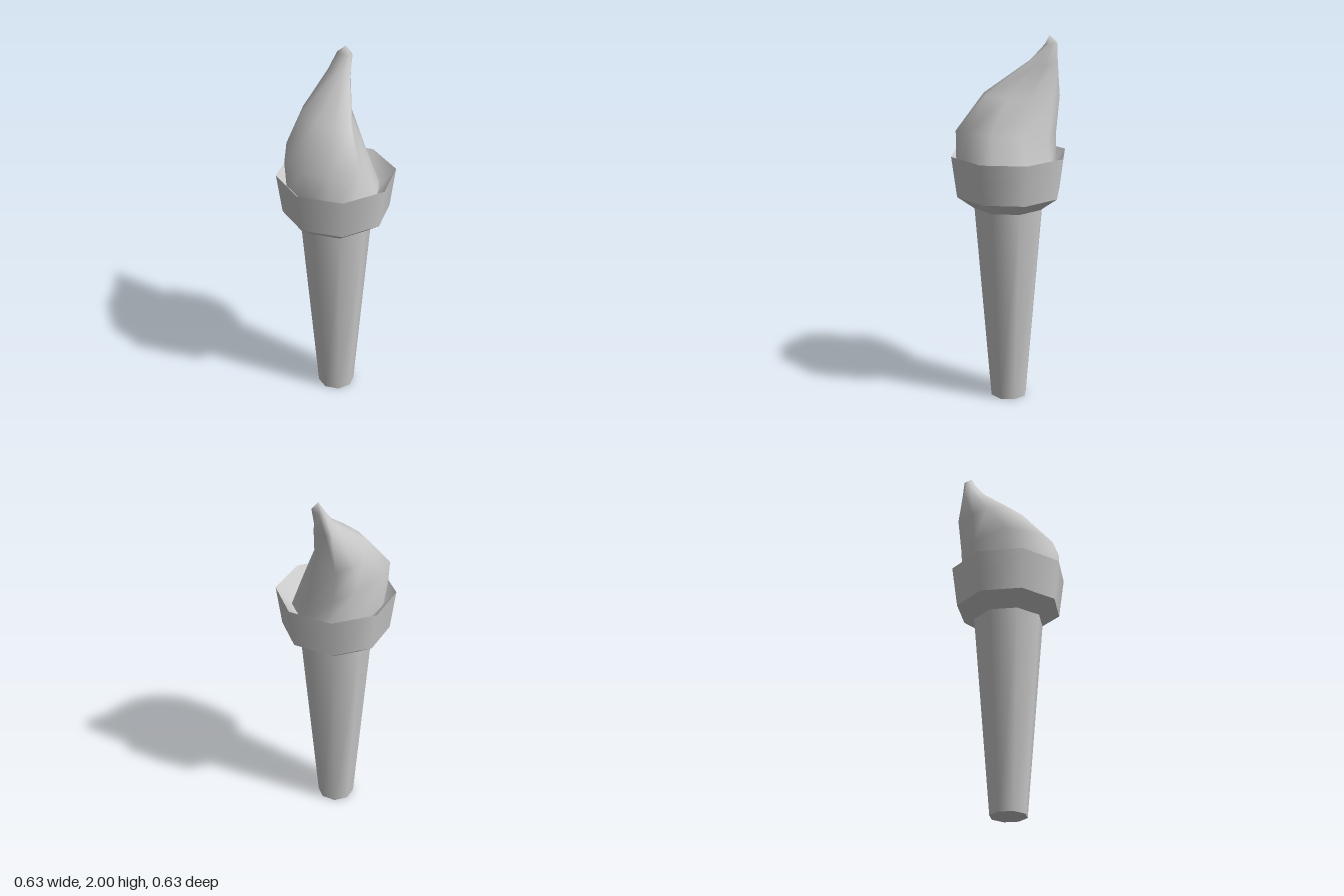
import * as THREE from 'three';

const grey = new THREE.MeshStandardMaterial({ color: 0xcccccc, side: THREE.DoubleSide });

function addPart(group, name, geometry) {
  const mesh = new THREE.Mesh(geometry, grey);
  mesh.name = name;
  group.add(mesh);
}

// Eight-sided band between two heights
function band(r0, y0, r1, y1, open = true) {
  const g = new THREE.CylinderGeometry(r1, r0, y1 - y0, 8, 1, open);
  return g.translate(0, (y0 + y1) / 2, 0);
}

// Joins rings of points (running from +x towards +z, lowest first) up to a tip
function loft(rings, tip) {
  const n = rings[0].length;
  const index = [];
  rings.forEach((ring, i) => {
    for (let j = 0; j < n; j++) {
      const a = i * n + j;
      const b = i * n + (j + 1) % n;
      if (i === rings.length - 1) index.push(a, rings.length * n, b);
      else index.push(a, a + n, b, b, a + n, b + n);
    }
  });
  const g = new THREE.BufferGeometry();
  g.setAttribute('position', new THREE.Float32BufferAttribute([...rings.flat(2), ...tip], 3));
  g.setIndex(index);
  g.computeVertexNormals();
  return g;
}

// Leaning flame with a steep face towards +x and +z
function flameGeometry() {
  const base = [
    [0.24, -0.015], [0.175, 0.15], [0.035, 0.25], [-0.14, 0.235], [-0.235, 0.15],
    [-0.27, 0], [-0.24, -0.13], [-0.12, -0.22], [0.08, -0.235], [0.21, -0.14],
  ].map(([x, z]) => [x, 1.29, z]);
  const belly = [
    [0.21, 1.45, -0.04], [0.13, 1.48, 0.1], [0, 1.5, 0.19], [-0.115, 1.52, 0.245], [-0.235, 1.5, 0.15],
    [-0.28, 1.5, 0], [-0.26, 1.5, -0.13], [-0.12, 1.52, -0.235], [0.08, 1.5, -0.235], [0.185, 1.47, -0.19],
  ];
  const shoulder = [
    [0.215, 1.68, -0.09], [0.12, 1.66, 0], [0.03, 1.68, 0.08], [-0.06, 1.7, 0.145], [-0.11, 1.7, 0.07],
    [-0.115, 1.7, -0.04], [-0.09, 1.7, -0.16], [0, 1.69, -0.22], [0.08, 1.66, -0.245], [0.19, 1.66, -0.22],
  ];
  const neck = [
    [0.22, 1.85, -0.09], [0.18, 1.84, -0.05], [0.15, 1.85, -0.03], [0.11, 1.86, 0], [0.1, 1.87, -0.05],
    [0.1, 1.87, -0.09], [0.12, 1.87, -0.14], [0.14, 1.86, -0.17], [0.18, 1.85, -0.18], [0.205, 1.85, -0.16],
  ];
  const point = neck.map((_, j) => {
    const a = (j / neck.length) * Math.PI * 2;
    return [0.195 + 0.027 * Math.cos(a), 1.955, -0.1 + 0.045 * Math.sin(a)];
  });
  return loft([base, belly, shoulder, neck, point], [0.19, 2, -0.09]);
}

export function createModel() {
  const group = new THREE.Group();
  group.name = 'torch';

  addPart(group, 'handle', band(0.1, 0, 0.19, 1.085, false));
  addPart(group, 'cupCollar', band(0.19, 1.085, 0.285, 1.155));
  addPart(group, 'cupWall', band(0.285, 1.155, 0.315, 1.375));

  // Funnel inside the cup that holds the flame
  const funnel = [[0.315, 1.375], [0.2, 1.25], [0, 1.25]].map(([r, y]) => new THREE.Vector2(r, y));
  addPart(group, 'cupInside', new THREE.LatheGeometry(funnel, 8));

  addPart(group, 'flame', flameGeometry());
  return group;
}
